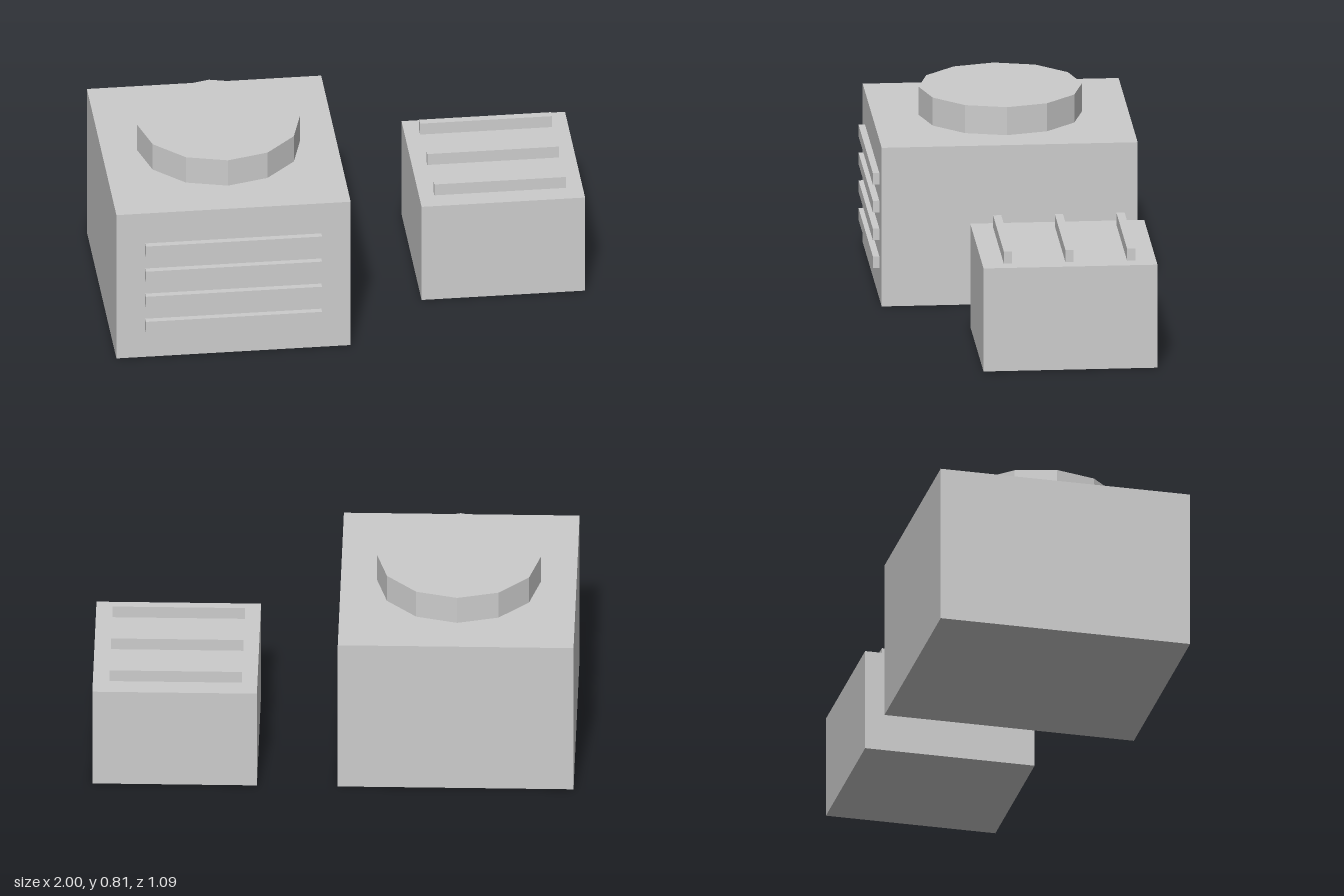
import * as THREE from 'three';

export function createModel() {
  const model = new THREE.Group();
  const grey = new THREE.MeshStandardMaterial({ color: 0xcccccc });
  grey.name = 'light grey';

  // Box given by its extents along each axis
  function box(name, [x0, x1], [y0, y1], [z0, z1], parent) {
    const mesh = new THREE.Mesh(new THREE.BoxGeometry(x1 - x0, y1 - y0, z1 - z0), grey);
    mesh.name = name;
    mesh.position.set((x0 + x1) / 2, (y0 + y1) / 2, (z0 + z1) / 2);
    parent.add(mesh);
  }

  // Large unit: housing, round fan cover on top, four louvres in front
  const largeUnit = new THREE.Group();
  largeUnit.name = 'largeUnit';
  box('largeHousing', [-1, -0.02], [0, 0.685], [-0.547, 0.52], largeUnit);

  const fanGeometry = new THREE.CylinderGeometry(0.341, 0.341, 0.122, 12).toNonIndexed();
  fanGeometry.computeVertexNormals();
  const fanCover = new THREE.Mesh(fanGeometry, grey);
  fanCover.name = 'fanCover';
  fanCover.position.set(-0.511, 0.745, -0.014);
  largeUnit.add(fanCover);

  for (let i = 0; i < 4; i++) {
    const y = 0.157 + i * 0.12;
    box('louvre' + (i + 1), [-0.88, -0.143], [y - 0.025, y + 0.025], [0.515, 0.547], largeUnit);
  }

  // Small unit: housing with three ribs on top
  const smallUnit = new THREE.Group();
  smallUnit.name = 'smallUnit';
  box('smallHousing', [0.316, 1], [0, 0.445], [-0.547, 0.178], smallUnit);
  for (let i = 0; i < 3; i++) {
    const z = 0.071 - i * 0.257;
    box('topRib' + (i + 1), [0.38, 0.931], [0.44, 0.497], [z - 0.017, z + 0.017], smallUnit);
  }

  model.add(largeUnit, smallUnit);
  return model;
}
